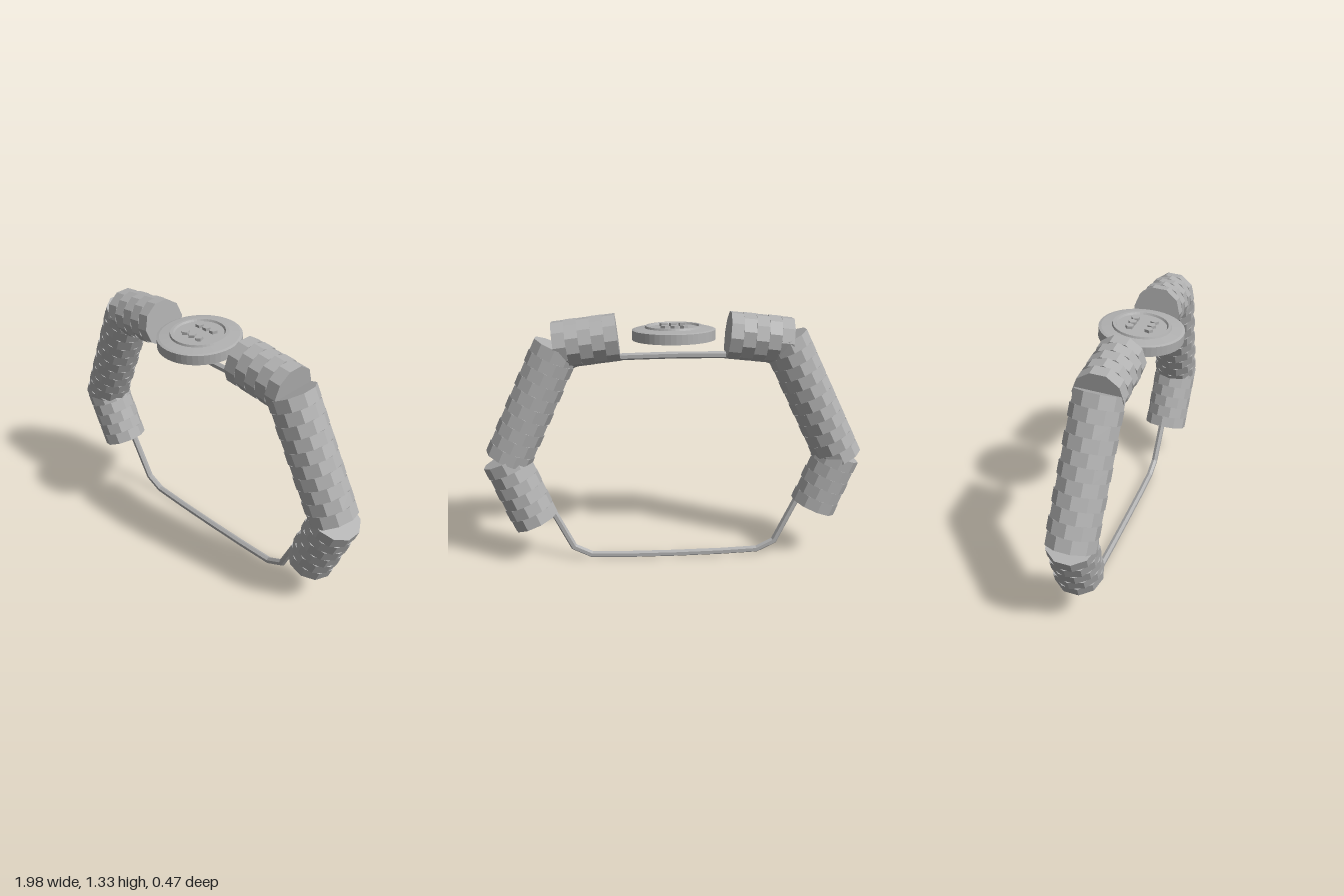
import * as THREE from 'three';

export function createModel() {
  const model = new THREE.Group();
  model.name = 'beadedBracelet';
  const grey = new THREE.MeshStandardMaterial({ color: 0xb0b0b0, flatShading: true });
  grey.name = 'plain grey';

  // Everything lies in one slightly tilted and turned plane
  const bracelet = new THREE.Group();
  bracelet.name = 'bracelet';
  bracelet.position.z = -0.075;
  bracelet.rotation.set(0.068, -0.085, 0);
  model.add(bracelet);

  // Cord: hexagonal section swept round a closed outline with mitred corners
  const half = [[0, 0.024], [0.25, 0.026], [0.45, 0.033], [0.545, 0.08],
    [0.67, 0.33], [0.775, 0.575], [0.66, 0.83], [0.545, 1.065], [0.46, 1.1], [0.25, 1.115], [0, 1.118]];
  const outline = [...half, ...half.slice(1, -1).reverse().map(([x, y]) => [-x, y])]
    .map(([x, y]) => new THREE.Vector2(x, y));
  const sides = 6, r = 0.018, n = outline.length;
  const pos = [], idx = [];
  for (let i = 0; i < n; i++) {
    const p = outline[i];
    const a = p.clone().sub(outline[(i + n - 1) % n]).normalize();
    const b = outline[(i + 1) % n].clone().sub(p).normalize();
    const out = new THREE.Vector2(a.y + b.y, -a.x - b.x).normalize();
    const miter = 1 / (out.x * a.y - out.y * a.x);
    for (let j = 0; j < sides; j++) {
      const t = (j / sides) * Math.PI * 2;
      const d = Math.cos(t) * r * miter;
      pos.push(p.x + out.x * d, p.y + out.y * d, Math.sin(t) * r);
      const k = (j + 1) % sides, m = (i + 1) % n;
      const q = [i * sides + j, m * sides + j, m * sides + k, i * sides + k];
      idx.push(q[0], q[1], q[2], q[0], q[2], q[3]);
    }
  }
  const cordGeo = new THREE.BufferGeometry();
  cordGeo.setAttribute('position', new THREE.Float32BufferAttribute(pos, 3));
  cordGeo.setIndex(idx);
  cordGeo.computeVertexNormals();
  const cord = new THREE.Mesh(cordGeo, grey);
  cord.name = 'cord';
  bracelet.add(cord);

  // Stacks of ten-sided beads, every second one turned by half a facet
  function beadStack(name, x0, y0, x1, y1, count) {
    const stack = new THREE.Group();
    stack.name = name;
    const axis = new THREE.Vector3(x1 - x0, y1 - y0, 0);
    const step = axis.length() / count;
    const geo = new THREE.CylinderGeometry(0.123, 0.123, step, 10);
    for (let i = 0; i < count; i++) {
      const bead = new THREE.Mesh(geo, grey);
      bead.name = 'bead';
      bead.position.y = (i + 0.5) * step;
      bead.rotation.y = (i % 2) * Math.PI / 10;
      stack.add(bead);
    }
    stack.position.set(x0, y0, 0);
    stack.quaternion.setFromUnitVectors(new THREE.Vector3(0, 1, 0), axis.normalize());
    bracelet.add(stack);
  }
  beadStack('upperBeadsLeft', 0.28, 1.217, 0.6, 1.18, 5);
  beadStack('upperBeadsRight', -0.285, 1.217, -0.605, 1.18, 5);
  beadStack('sideBeadsLeft', 0.59, 1.172, 0.868, 0.585, 10);
  beadStack('sideBeadsRight', -0.578, 1.192, -0.886, 0.545, 11);
  beadStack('lowerBeadsLeft', 0.884, 0.59, 0.739, 0.239, 6);
  beadStack('lowerBeadsRight', -0.875, 0.57, -0.752, 0.276, 5);

  // Button: disc with a raised inner ring
  const button = new THREE.Group();
  button.name = 'button';
  button.position.set(-0.007, 1.2, 0.008);
  bracelet.add(button);
  const profile = [[0, 0], [0.213, 0], [0.213, 0.05], [0.2, 0.054], [0.148, 0.06], [0.144, 0.07],
    [0.13, 0.07], [0.124, 0.06], [0, 0.06]].map(([x, y]) => new THREE.Vector2(x, y));
  const disc = new THREE.Mesh(new THREE.LatheGeometry(profile, 48), grey);
  disc.name = 'buttonDisc';
  button.add(disc);

  // Two rows of three five-sided studs
  const studGeo = new THREE.CylinderGeometry(0.022, 0.022, 0.016, 5);
  for (const z of [-0.049, 0.049]) {
    for (const x of [-0.048, 0, 0.048]) {
      const stud = new THREE.Mesh(studGeo, grey);
      stud.name = 'stud';
      stud.position.set(x, 0.067, z);
      stud.rotation.y = z > 0 ? 0 : Math.PI;
      button.add(stud);
    }
  }
  return model;
}
